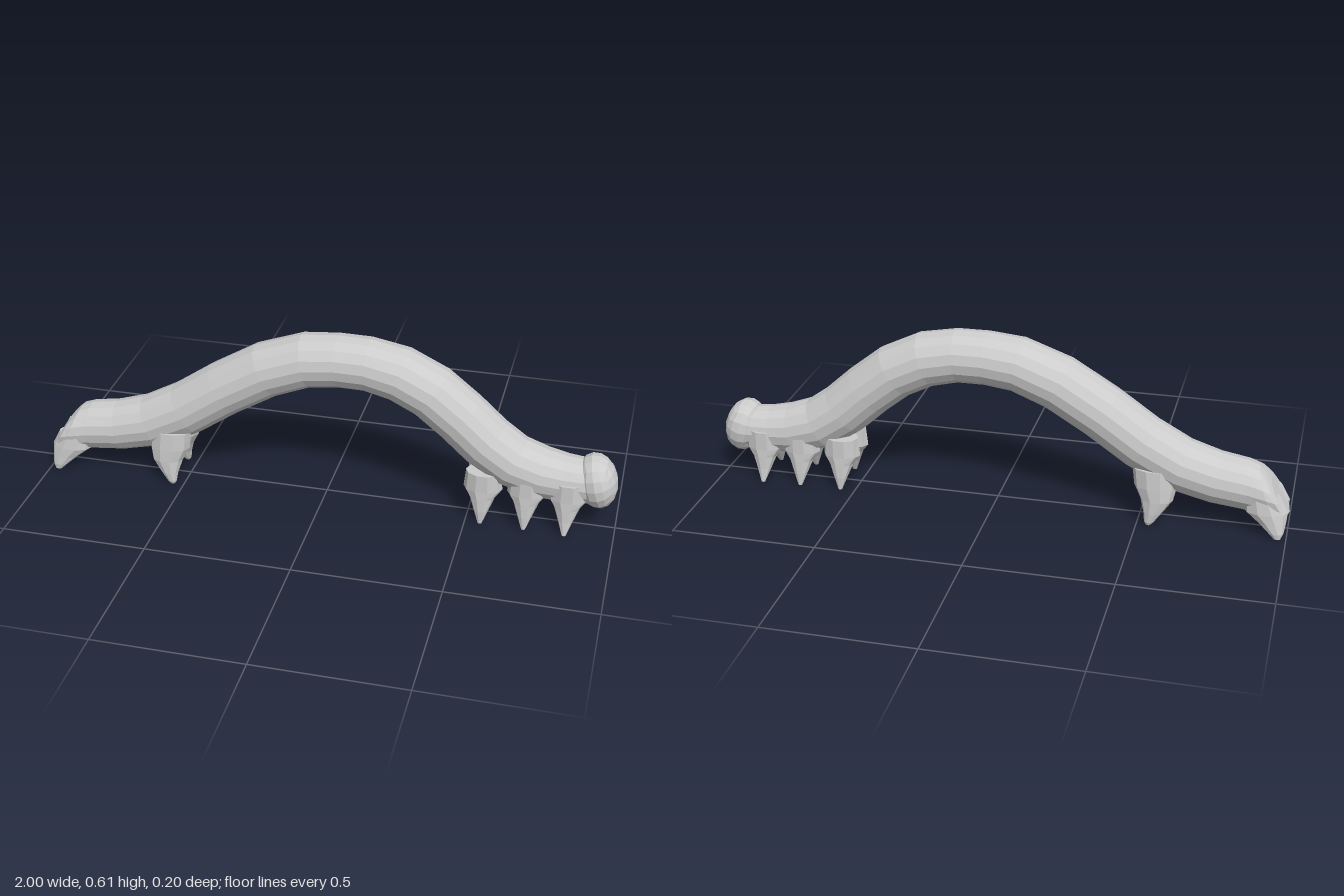
import * as THREE from 'three';

const material = new THREE.MeshStandardMaterial({ color: 0xcccccc, flatShading: true });

// Skin a list of rings { c: centre, u, v: half axes } and close both ends.
// u x v points along the direction of travel.
function loft(rings, sides) {
  const pos = [], idx = [];
  for (const { c, u, v } of rings) {
    for (let j = 0; j < sides; j++) {
      const a = (j / sides) * Math.PI * 2;
      const p = c.clone().addScaledVector(u, Math.cos(a)).addScaledVector(v, Math.sin(a));
      pos.push(p.x, p.y, p.z);
    }
  }
  const last = rings.length - 1;
  for (let i = 0; i < last; i++) {
    for (let j = 0; j < sides; j++) {
      const k = (j + 1) % sides;
      const a = i * sides + j, b = i * sides + k;
      idx.push(a, b, b + sides, a, b + sides, a + sides);
    }
  }
  const start = pos.length / 3;
  pos.push(...rings[0].c.toArray(), ...rings[last].c.toArray());
  for (let j = 0; j < sides; j++) {
    const k = (j + 1) % sides;
    idx.push(start, k, j, start + 1, last * sides + j, last * sides + k);
  }
  const geo = new THREE.BufferGeometry();
  geo.setAttribute('position', new THREE.Float32BufferAttribute(pos, 3));
  geo.setIndex(idx);
  geo.computeVertexNormals();
  return geo;
}

function addMesh(parent, name, geo) {
  const mesh = new THREE.Mesh(geo, material);
  mesh.name = name;
  parent.add(mesh);
  return mesh;
}

// Body stations from tail to neck: x, y, direction in degrees, radius
const BODY = [
  [-0.968, 0.125, -30, 0.068], [-0.955, 0.13, -28, 0.086], [-0.925, 0.14, -20, 0.091],
  [-0.86, 0.152, -2, 0.088], [-0.75, 0.167, 10, 0.09], [-0.63, 0.2, 22, 0.094],
  [-0.5, 0.268, 32, 0.096], [-0.36, 0.365, 34, 0.096], [-0.21, 0.455, 27, 0.096],
  [-0.07, 0.508, 12, 0.094], [0.04, 0.52, 2, 0.092], [0.14, 0.519, -5, 0.092],
  [0.25, 0.496, -19, 0.095], [0.36, 0.442, -34, 0.096], [0.46, 0.362, -42, 0.096],
  [0.55, 0.28, -41, 0.096], [0.64, 0.218, -28, 0.094], [0.74, 0.186, -12, 0.09],
  [0.82, 0.176, -4, 0.083], [0.9, 0.174, 0, 0.077],
];

function bodyGeometry() {
  return loft(BODY.map(([x, y, deg, r]) => {
    const t = THREE.MathUtils.degToRad(deg);
    return {
      c: new THREE.Vector3(x, y, 0),
      u: new THREE.Vector3(-Math.sin(t) * r, Math.cos(t) * r, 0),
      v: new THREE.Vector3(0, 0, r),
    };
  }), 16);
}

// Leg stations from the body to the foot: x, y, z, half width in x, half depth in z
function legGeometry(stations, side) {
  return loft(stations.map(([x, y, z, rx, rz]) => ({
    c: new THREE.Vector3(x, y, z * side),
    u: new THREE.Vector3(rx, 0, 0),
    v: new THREE.Vector3(0, 0, rz),
  })), 10);
}

// Pointed front leg, flaring into the body
const clawLeg = (x, tipZ) => [
  [x, 0.19, 0.045, 0.06, 0.045], [x, 0.125, 0.046, 0.066, 0.043],
  [x, 0.095, 0.056, 0.043, 0.034], [x, 0.05, 0.071, 0.025, 0.02],
  [x, 0.004, tipZ, 0.007, 0.006],
];

const MIDDLE_LEG = [
  [-0.55, 0.2, 0.05, 0.075, 0.045], [-0.555, 0.135, 0.052, 0.072, 0.047],
  [-0.562, 0.09, 0.062, 0.055, 0.038], [-0.552, 0.045, 0.077, 0.031, 0.022],
  [-0.542, 0.012, 0.084, 0.016, 0.012], [-0.54, 0.002, 0.085, 0.008, 0.006],
];

const TAIL_LEG = [
  [-0.91, 0.14, 0.045, 0.06, 0.043], [-0.925, 0.085, 0.05, 0.073, 0.044],
  [-0.948, 0.05, 0.064, 0.047, 0.03], [-0.964, 0.02, 0.079, 0.026, 0.016],
  [-0.97, 0.002, 0.084, 0.012, 0.008],
];

export function createModel() {
  const model = new THREE.Group();
  model.name = 'caterpillar';

  addMesh(model, 'body', bodyGeometry());

  // Head: a rounded cube, tilted back
  const headGeo = new THREE.BoxGeometry(2, 2, 2, 4, 4, 4);
  const p = headGeo.attributes.position, v = new THREE.Vector3();
  for (let i = 0; i < p.count; i++) {
    v.fromBufferAttribute(p, i);
    v.set(Math.tan(v.x * Math.PI / 4), Math.tan(v.y * Math.PI / 4), Math.tan(v.z * Math.PI / 4));
    v.normalize();
    p.setXYZ(i, v.x, v.y, v.z);
  }
  headGeo.scale(0.069, 0.097, 0.087);
  headGeo.computeVertexNormals();
  const head = addMesh(model, 'head', headGeo);
  head.position.set(0.926, 0.18, 0);
  head.rotation.z = 0.25;

  // Legs, mirrored across the body
  for (const [label, side] of [['near', 1], ['far', -1]]) {
    const legs = new THREE.Group();
    legs.name = `${label}Legs`;
    [[0.552, 0.082], [0.7, 0.084], [0.837, 0.09]].forEach(([x, z], i) =>
      addMesh(legs, `${label}FrontLeg${i + 1}`, legGeometry(clawLeg(x, z), side)));
    addMesh(legs, `${label}MiddleLeg`, legGeometry(MIDDLE_LEG, side));
    addMesh(legs, `${label}TailLeg`, legGeometry(TAIL_LEG, side));
    model.add(legs);
  }
  return model;
}
